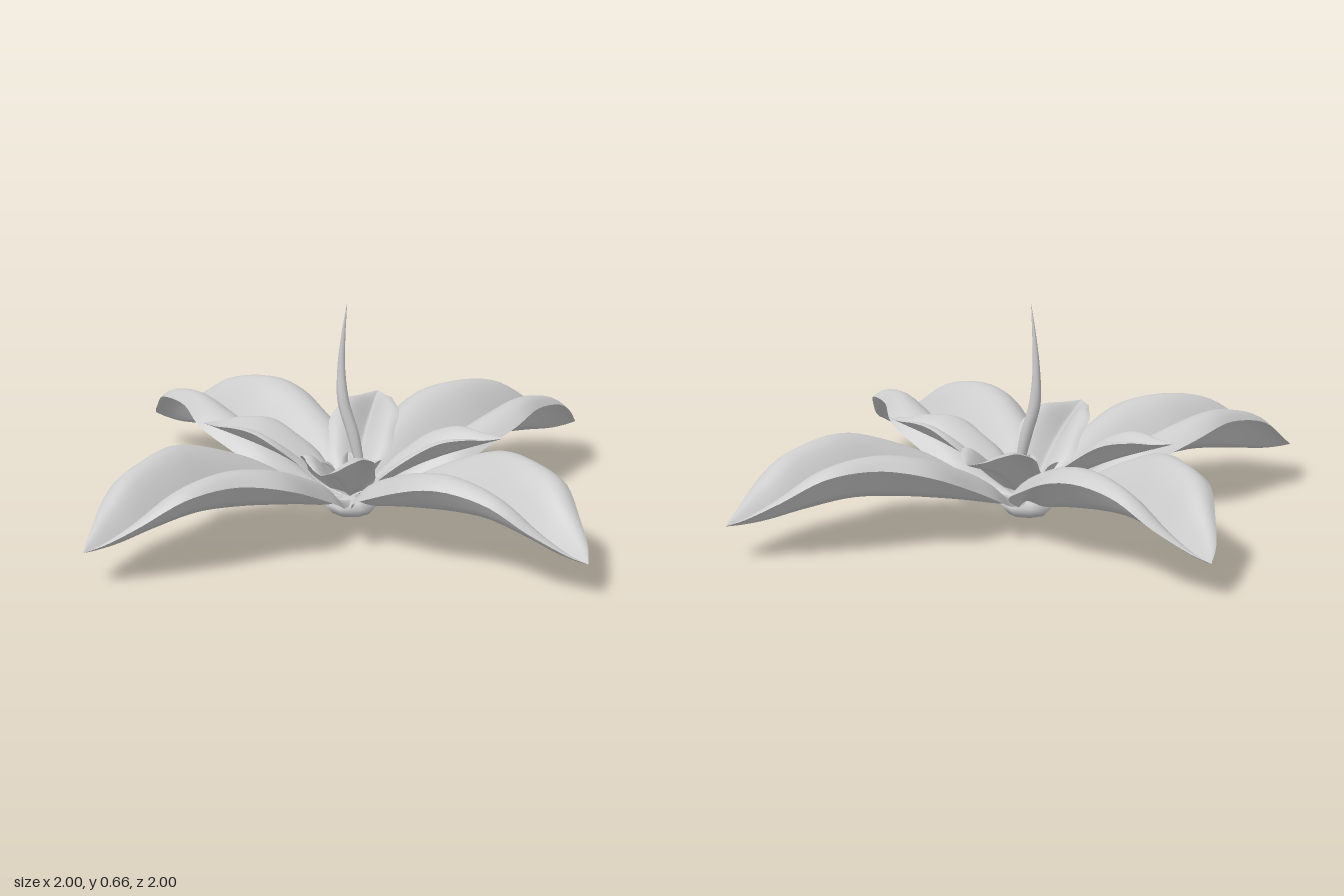
import * as THREE from 'three';

const material = new THREE.MeshStandardMaterial({ color: 0xcccccc, side: THREE.DoubleSide });

// Smooth curve through [position, value...] rows, sampled at u in 0..1
function sampler(rows, column) {
  const curve = new THREE.SplineCurve(rows.map((r) => new THREE.Vector2(r[0], r[column])));
  return (u) => curve.getPoint(u);
}

// Cupped leaf growing along +x, its rims rolling over most near the base.
// Rows: [distance, midrib height, half width, crest lift]
function leafGeometry(rows, wave, baseRoll, nu = 40, nv = 24) {
  const rib = sampler(rows, 1), width = sampler(rows, 2), lift = sampler(rows, 3);
  const pos = [], index = [];
  for (let i = 0; i <= nu; i++) {
    const u = i / nu, p = rib(u);
    const roll = THREE.MathUtils.lerp(baseRoll, 1.65, u);
    for (let j = 0; j <= nv; j++) {
      const v = (j / nv) * 2 - 1, t = Math.abs(v);
      const ripple = Math.sin(u * 27 + (v > 0 ? 0.4 : 2.2)) * wave * t * t;
      const w = Math.max(0, width(u).y) * (1 + ripple);
      const h = Math.max(0, lift(u).y) * Math.sin(t ** 1.1 * roll) * (1 + ripple * 0.6);
      pos.push(p.x, p.y + h, w * v);
      if (i < nu && j < nv) {
        const a = i * (nv + 1) + j, c = a + nv + 1;
        index.push(a, a + 1, c, a + 1, c + 1, c);
      }
    }
  }
  const g = new THREE.BufferGeometry();
  g.setAttribute('position', new THREE.Float32BufferAttribute(pos, 3));
  g.setIndex(index);
  g.computeVertexNormals();
  return g;
}

// Four copies of a leaf around the stem
function whorl(name, geometry, turn) {
  const group = new THREE.Group();
  group.name = name + 's';
  for (let k = 0; k < 4; k++) {
    const leaf = new THREE.Mesh(geometry, material);
    leaf.name = name;
    leaf.rotation.y = turn + (k * Math.PI) / 2;
    group.add(leaf);
  }
  return group;
}

// Upright shoot: a tapered cylinder bent along a path of [height, x, z, radius]
function shootGeometry() {
  const rows = [[0.05, 0.02, -0.01, 0.012], [0.15, 0.02, -0.015, 0.016], [0.25, 0, -0.006, 0.022],
    [0.35, -0.028, 0.008, 0.021], [0.45, -0.038, 0.008, 0.014], [0.55, -0.034, 0.004, 0.008], [0.66, -0.02, 0, 0.0005]];
  const sx = sampler(rows, 1), sz = sampler(rows, 2), sr = sampler(rows, 3);
  const g = new THREE.CylinderGeometry(1, 1, 1, 10, 30);
  const p = g.attributes.position;
  for (let i = 0; i < p.count; i++) {
    const u = p.getY(i) + 0.5, c = sx(u), r = sr(u).y;
    p.setXYZ(i, c.y + p.getX(i) * r, c.x, sz(u).y + p.getZ(i) * r * 0.8);
  }
  g.computeVertexNormals();
  return g;
}

export function createModel() {
  const model = new THREE.Group();
  model.name = 'plant';

  // Wide outer leaves, arching out and drooping to the tip
  model.add(whorl('outerLeaf', leafGeometry([
    [0, 0.038, 0.02, 0.003], [0.1, 0.044, 0.09, 0.03], [0.2, 0.067, 0.175, 0.08],
    [0.3, 0.088, 0.218, 0.118], [0.45, 0.115, 0.235, 0.15], [0.6, 0.13, 0.2, 0.158],
    [0.75, 0.117, 0.158, 0.14], [0.87, 0.1, 0.105, 0.08], [0.95, 0.096, 0.048, 0.03], [1, 0.098, 0, 0],
  ], 0.035, 2.95), 0));

  // Shorter inner leaves on the diagonals
  model.add(whorl('innerLeaf', leafGeometry([
    [0, 0.05, 0.015, 0.005], [0.06, 0.075, 0.06, 0.025], [0.13, 0.12, 0.1, 0.05],
    [0.21, 0.165, 0.107, 0.065], [0.29, 0.2, 0.096, 0.068], [0.36, 0.225, 0.066, 0.045],
    [0.42, 0.245, 0.036, 0.018], [0.47, 0.262, 0, 0],
  ], 0.045, 2.35, 30), 0.67));

  // Tiny folded leaves around the heart
  model.add(whorl('heartLeaf', leafGeometry([
    [0, 0.05, 0.01, 0.005], [0.035, 0.08, 0.021, 0.03],
    [0.065, 0.12, 0.02, 0.035], [0.095, 0.165, 0, 0],
  ], 0, 1.6, 14, 8), -0.6));

  // Central shoot
  const shoot = new THREE.Mesh(shootGeometry(), material);
  shoot.name = 'centralShoot';
  model.add(shoot);

  // Stub of stem under the leaves
  const profile = [[0, 0], [0.06, 0], [0.068, 0.008], [0.088, 0.034], [0.06, 0.044], [0, 0.05]];
  const base = new THREE.Mesh(
    new THREE.LatheGeometry(profile.map(([x, y]) => new THREE.Vector2(x, y)), 8, Math.PI / 8), material);
  base.name = 'stemBase';
  model.add(base);

  return model;
}
